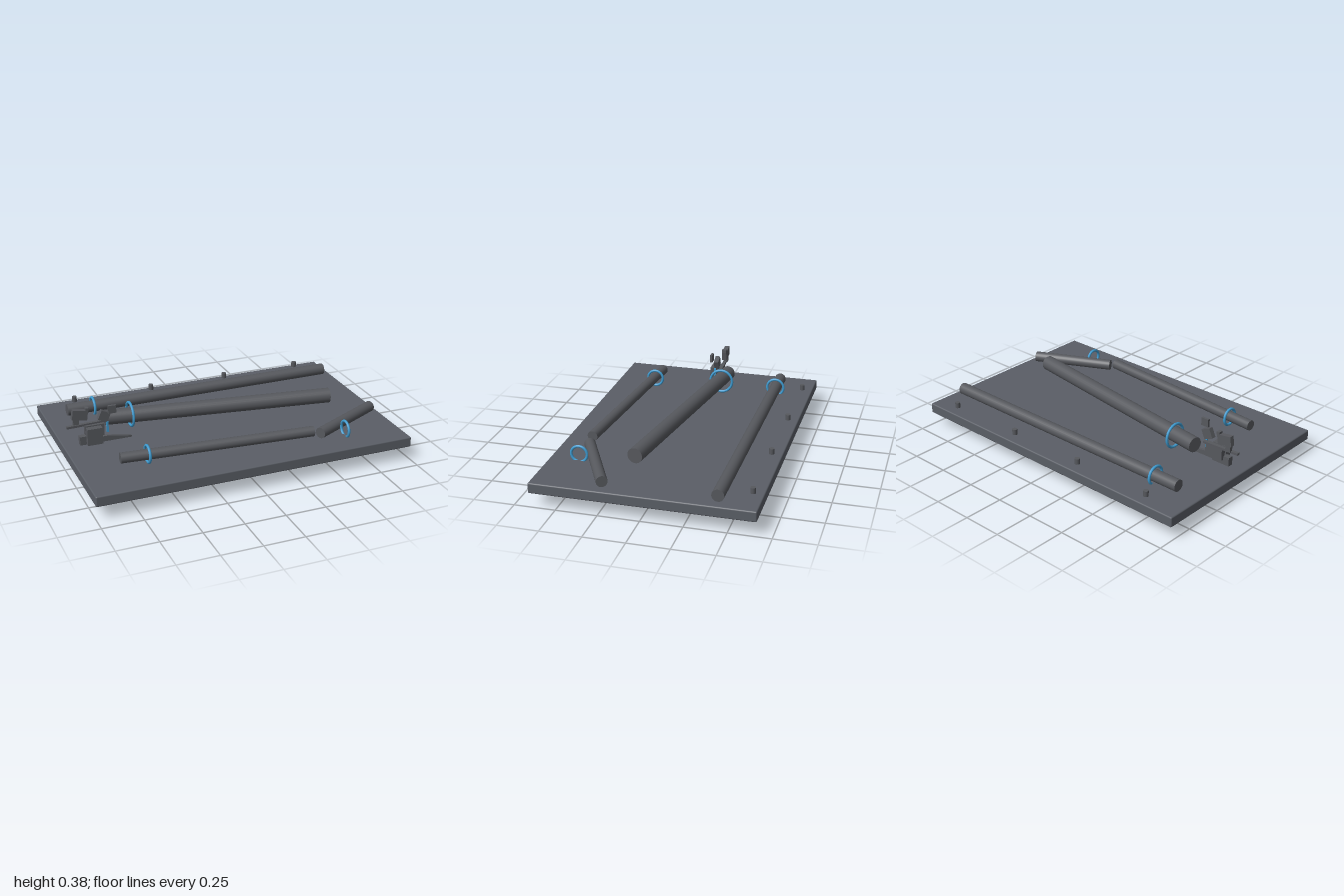
import * as THREE from 'three';
import { RoundedBoxGeometry } from 'three/addons/geometries/RoundedBoxGeometry.js';

const mat = (name, color) => {
  const m = new THREE.MeshStandardMaterial({ color });
  m.name = name;
  return m;
};

export function createModel() {
  const group = new THREE.Group();
  const slate = mat('slate grey', 0x5a5e66);
  const steel = mat('steel grey', 0x56585d);
  const blue = mat('band blue', 0x3f9bd0);

  const add = (name, geometry, material, x = 0, y = 0, z = 0) => {
    const mesh = new THREE.Mesh(geometry, material);
    mesh.name = name;
    mesh.position.set(x, y, z);
    group.add(mesh);
    return mesh;
  };

  // Box given by its centre and size, with optional tilt and turn
  const box = (name, [x, y, z], [w, h, d], tilt = 0, turn = 0) => {
    const mesh = add(name, new THREE.BoxGeometry(w, h, d), steel, x, y, z);
    mesh.rotation.set(0, turn, tilt);
    return mesh;
  };

  // Side outline extruded across z
  const slab = (name, points, depth, z) => {
    const shape = new THREE.Shape(points.map(([x, y]) => new THREE.Vector2(x, y)));
    const geometry = new THREE.ExtrudeGeometry(shape, { depth, bevelEnabled: false });
    return add(name, geometry, steel, 0, 0, z - depth / 2);
  };

  // Board
  add('board', new RoundedBoxGeometry(2, 0.065, 1.325, 2, 0.008), slate, 0, 0.123, 0);

  // Rods lying on the board: start x, z, end x, z, height, radius
  const rods = [
    ['backRod', -0.86, -0.432, 0.945, -0.432, 0.196, 0.037],
    ['middleRod', -0.71, -0.1, 0.71, 0.115, 0.261, 0.047],
    ['frontRod', -0.765, 0.375, 0.425, 0.473, 0.217, 0.032],
    ['shortRod', 0.475, 0.472, 0.945, 0.235, 0.194, 0.034],
  ];
  for (const [name, x0, z0, x1, z1, y, r] of rods) {
    const dir = new THREE.Vector3(x1 - x0, 0, z1 - z0);
    const rod = add(name, new THREE.CylinderGeometry(r, r, dir.length(), 24), steel,
      (x0 + x1) / 2, y, (z0 + z1) / 2);
    rod.quaternion.setFromUnitVectors(new THREE.Vector3(0, 1, 0), dir.normalize());
  }

  // Bands: x, y, z, outer radius
  const bands = [
    ['backBand', -0.69, 0.196, -0.43, 0.064],
    ['middleBand', -0.55, 0.261, -0.09, 0.082],
    ['frontBand', -0.6, 0.216, 0.382, 0.06],
    ['shortBand', 0.64, 0.196, 0.48, 0.058],
  ];
  for (const [name, x, y, z, r] of bands) {
    const tube = 0.0085;
    add(name, new THREE.TorusGeometry(r - tube, tube, 8, 24), blue, x, y, z).rotation.y = Math.PI / 2;
  }

  // Pegs along the back edge
  for (let i = 0; i < 4; i++) {
    add('peg', new THREE.CylinderGeometry(0.016, 0.016, 0.035, 12), steel, -0.765 + i * 0.525, 0.187, -0.6);
  }

  // Small mechanism at one end
  box('mechanismBase', [-0.84, 0.18, -0.005], [0.12, 0.06, 0.035]);
  box('mechanismBlock', [-0.813, 0.21, 0.02], [0.095, 0.105, 0.04]);
  box('mechanismSpine', [-0.8, 0.225, -0.025], [0.12, 0.08, 0.03]);
  box('topPlate', [-0.85, 0.268, -0.035], [0.24, 0.014, 0.02], 0, 0.05);
  box('post', [-0.908, 0.288, -0.04], [0.035, 0.04, 0.02]);
  box('head', [-0.883, 0.335, -0.04], [0.095, 0.062, 0.03], -0.15);
  box('headTip', [-0.838, 0.365, -0.04], [0.02, 0.02, 0.03]);
  box('tiltedBlock', [-0.74, 0.315, -0.015], [0.062, 0.062, 0.03], -0.42);
  box('upperBlock', [-0.695, 0.362, 0.012], [0.05, 0.05, 0.015]);
  add('bluePin', new THREE.BoxGeometry(0.012, 0.07, 0.012), blue, -0.722, 0.245, -0.005);
  slab('wedge', [[-0.78, 0.15], [-0.575, 0.15], [-0.575, 0.165], [-0.73, 0.19], [-0.78, 0.19]], 0.02, 0);

  // Parts passing under the board
  slab('lowerFin', [[-0.9, 0.035], [-0.77, 0.035], [-0.6, 0.005], [-0.585, 0.1], [-0.9, 0.1]], 0.02, 0.002);
  box('lowerStud', [-0.82, 0.08, -0.117], [0.08, 0.04, 0.015]);

  return group;
}
